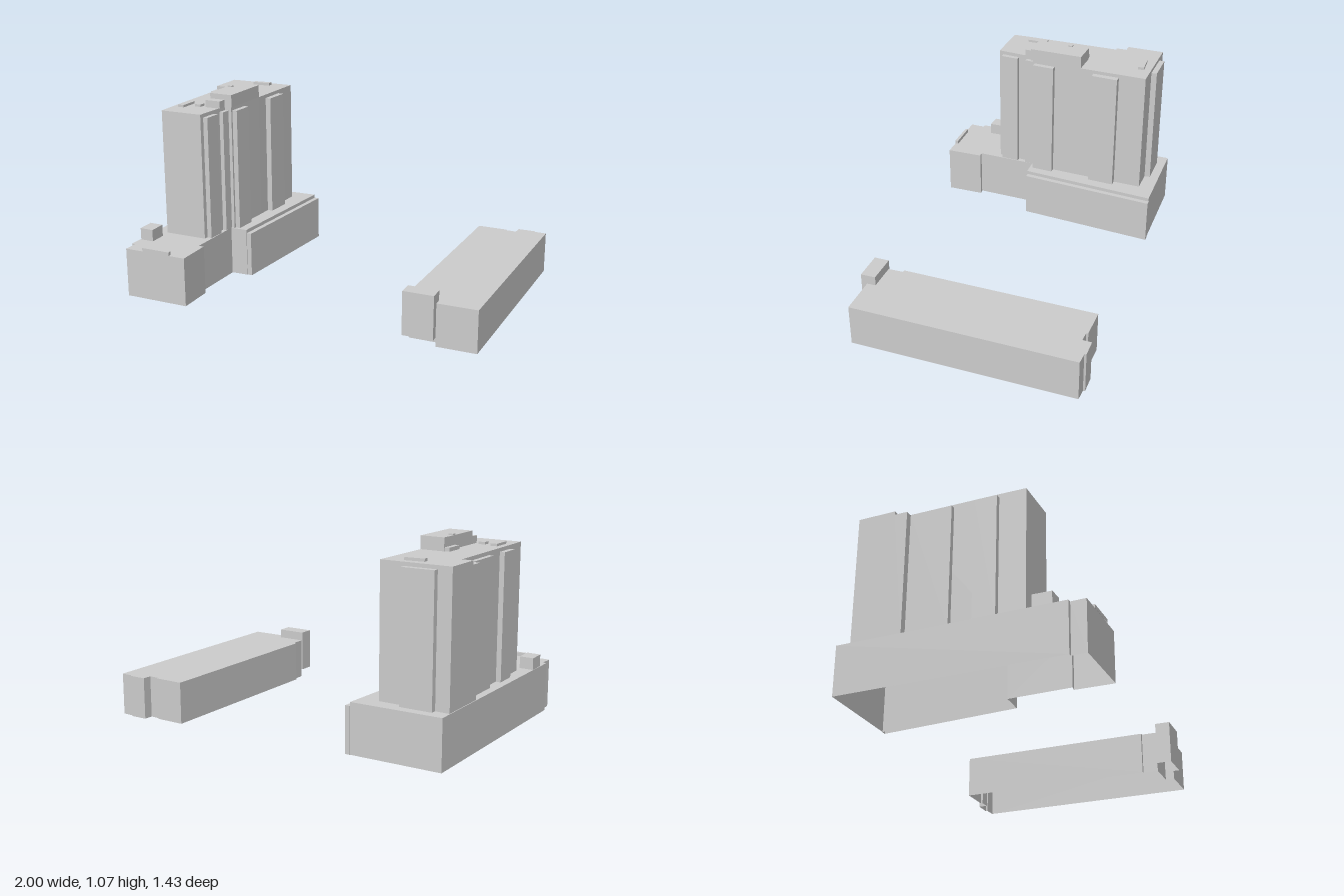
import * as THREE from 'three';

const grey = new THREE.MeshStandardMaterial({ color: 0xcccccc, flatShading: true, side: THREE.DoubleSide });

// Hollow block open at the bottom: walls around a plan outline of [x, z] points, plus a flat roof.
function block(name, plan, y0, y1, roofHole) {
  const group = new THREE.Group();
  group.name = name;

  const pos = [];
  plan.forEach(([ax, az], i) => {
    const [bx, bz] = plan[(i + 1) % plan.length];
    pos.push(ax, y0, az, ax, y1, az, bx, y1, bz, ax, y0, az, bx, y1, bz, bx, y0, bz);
  });
  const wallGeo = new THREE.BufferGeometry();
  wallGeo.setAttribute('position', new THREE.Float32BufferAttribute(pos, 3));
  wallGeo.computeVertexNormals();
  const walls = new THREE.Mesh(wallGeo, grey);
  walls.name = name + 'Walls';

  const toPoints = (p) => p.map(([x, z]) => new THREE.Vector2(x, -z));
  const shape = new THREE.Shape(toPoints(plan));
  if (roofHole) shape.holes.push(new THREE.Path(toPoints(roofHole)));
  const roof = new THREE.Mesh(new THREE.ShapeGeometry(shape).rotateX(-Math.PI / 2), grey);
  roof.position.y = y1;
  roof.name = name + 'Roof';

  group.add(walls, roof);
  return group;
}

// Four-sided plan whose x shifts by "lean" from its back edge to its front edge.
const quad = (x0, x1, z0, z1, lean = 0) =>
  [[x0, z0], [x1, z0], [x1 + lean, z1], [x0 + lean, z1]];

export function createModel() {
  const model = new THREE.Group();
  model.name = 'buildings';

  // Long low building with a notched back and a raised block at the front corner
  const hall = new THREE.Group();
  hall.name = 'lowBuilding';
  hall.add(
    block('hall', [
      [0.565, -0.67], [0.73, -0.675], [0.735, -0.665], [0.79, -0.665], [0.79, -0.715],
      [0.885, -0.72], [0.89, -0.71], [0.955, -0.71], [0.995, 0.525], [0.78, 0.535],
      [0.777, 0.487], [0.62, 0.493], [0.615, 0.41], [0.6, 0.41],
    ], 0, 0.23),
    block('entranceBlock', [[0.612, 0.493], [0.775, 0.487], [0.78, 0.568], [0.615, 0.575]], 0.045, 0.28),
  );
  model.add(hall);

  // Plan of the tower shaft, which rises through the podium roof
  const towerPlan = [
    [-0.994, -0.508], [-0.607, -0.52], [-0.602, -0.14], [-0.605, 0.155],
    [-0.645, 0.157], [-0.655, 0.385], [-0.9, 0.39], [-0.907, 0.25],
    [-0.927, -0.3], [-0.988, -0.3],
  ];
  const podiumPlan = [
    [-1, -0.585], [-0.5, -0.612], [-0.527, 0.157], [-0.623, 0.162], [-0.62, 0.5],
    [-0.59, 0.495], [-0.58, 0.7], [-0.945, 0.71], [-0.945, 0.63], [-0.965, 0.63],
  ];

  const podium = new THREE.Group();
  podium.name = 'podium';
  podium.add(
    block('podiumBase', podiumPlan, 0.02, 0.29, towerPlan),
    block('podiumSideStrip', quad(-0.5, -0.473, -0.615, 0.153, -0.027), 0.02, 0.27),
    block('deckHut', quad(-0.968, -0.89, 0.45, 0.55, 0.005), 0.29, 0.355),
    block('frontParapet', [[-0.84, 0.693], [-0.675, 0.685], [-0.673, 0.704], [-0.84, 0.708]], 0.29, 0.31),
  );
  model.add(podium);

  const tower = new THREE.Group();
  tower.name = 'tower';
  tower.add(block('towerShaft', towerPlan, 0.29, 0.99));

  // Shallow bays on the walls, stopping just below the roof
  const bays = [
    [[-0.917, -0.54], [-0.74, -0.547], [-0.735, -0.515], [-0.917, -0.508]],
    quad(-0.605, -0.57, -0.365, -0.215, -0.002),
    quad(-0.605, -0.575, 0.02, 0.143, -0.002),
    quad(-0.655, -0.625, 0.26, 0.36, -0.002),
    quad(-0.645, -0.622, 0.157, 0.21, -0.002),
    [[-0.988, -0.3], [-0.927, -0.3], [-0.916, 0], [-0.942, 0], [-0.95, -0.23], [-0.986, -0.23]],
    quad(-0.94, -0.912, 0.125, 0.247, 0.006),
  ];
  bays.forEach((plan, i) => tower.add(block('wallBay' + (i + 1), plan, 0.29, 0.97)));

  // Penthouse and roof plant
  tower.add(
    block('penthouse', quad(-0.738, -0.602, -0.138, 0.165, 0.006), 0.99, 1.06),
    block('penthouseStep', quad(-0.732, -0.64, 0.165, 0.215), 0.99, 1.03),
    block('penthouseLedge', quad(-0.765, -0.737, -0.132, -0.025, 0.004), 0.99, 1.01),
    block('penthouseVent', quad(-0.735, -0.71, -0.045, -0.02), 1.06, 1.067),
    block('backRoofUnit', [[-0.82, -0.465], [-0.715, -0.477], [-0.713, -0.443], [-0.818, -0.438]], 0.99, 1.005),
    block('frontRoofUnit', quad(-0.875, -0.838, 0.165, 0.275, 0.003), 0.99, 1.003),
    block('smallRoofUnit', quad(-0.795, -0.758, 0.185, 0.225), 0.99, 1.003),
  );
  model.add(tower);

  return model;
}
